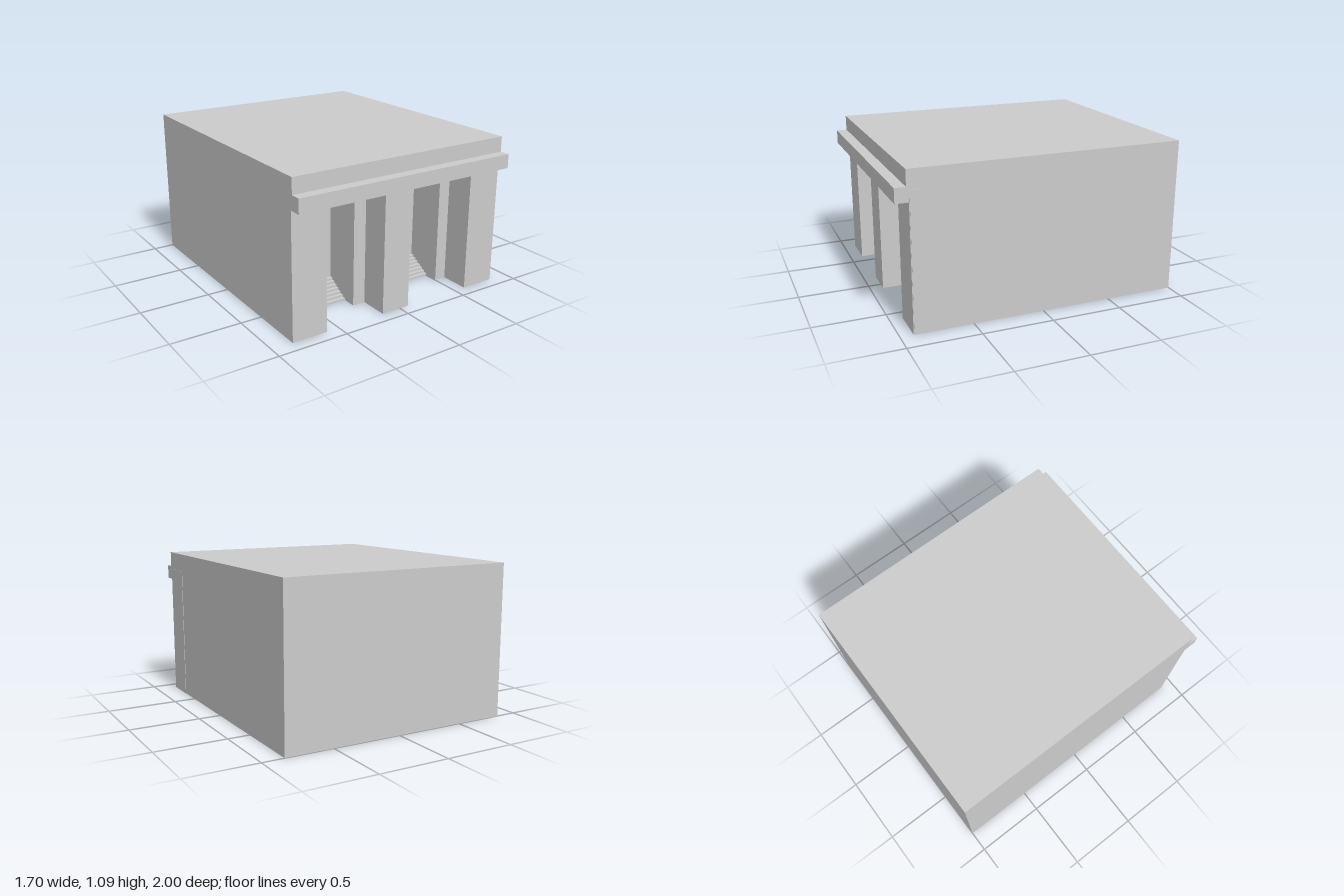
import * as THREE from 'three';

const material = new THREE.MeshStandardMaterial({ color: 0xcccccc, flatShading: true });
const thinMaterial = new THREE.MeshStandardMaterial({ color: 0xcccccc, flatShading: true, side: THREE.DoubleSide });

const LEFT = 0.845, RIGHT = -0.85, FRONT = 0.91, BACK = -1;
const JAMB_Z = 0.7, STAIR_Z = 0.6, WALL_Z = 0.42, DOOR_Z = 0.36;
const CEILING = 0.88, LANDING = 0.11, STEPS = 7;

// Entrance bays: outer edges, inner (jamb) edges and door edges along x
const bays = [
  { outer: [-0.595, -0.145], inner: [-0.515, -0.24], door: [-0.42, -0.34] },
  { outer: [0.07, 0.59], inner: [0.155, 0.5], door: [0.28, 0.38] },
];

function add(parent, name, geometry, mat = material) {
  const mesh = new THREE.Mesh(geometry, mat);
  mesh.name = name;
  parent.add(mesh);
  return mesh;
}

// Box given by its limits on each axis
function block(parent, name, [x0, x1], [y0, y1], [z0, z1]) {
  const mesh = add(parent, name, new THREE.BoxGeometry(x1 - x0, y1 - y0, z1 - z0));
  mesh.position.set((x0 + x1) / 2, (y0 + y1) / 2, (z0 + z1) / 2);
  return mesh;
}

// Floor plan of the building with the stepped bays cut into its front
function wallsGeometry() {
  const plan = [[RIGHT, BACK], [RIGHT, FRONT]];
  for (const { outer, inner, door } of bays) {
    plan.push(
      [outer[0], FRONT], [outer[0], JAMB_Z], [inner[0], JAMB_Z], [inner[0], WALL_Z],
      [door[0], WALL_Z], [door[0], DOOR_Z], [door[1], DOOR_Z], [door[1], WALL_Z],
      [inner[1], WALL_Z], [inner[1], JAMB_Z], [outer[1], JAMB_Z], [outer[1], FRONT],
    );
  }
  plan.push([LEFT, FRONT], [LEFT, BACK]);
  const shape = new THREE.Shape(plan.map(([x, z]) => new THREE.Vector2(x, -z)));
  return new THREE.ExtrudeGeometry(shape, { depth: CEILING, bevelEnabled: false }).rotateX(-Math.PI / 2);
}

// Wall above a door, with a panel that slopes back towards the ceiling
function overdoorGeometry([x0, x1]) {
  const profile = [[DOOR_Z, 0.265], [WALL_Z, 0.265], [WALL_Z, 0.35], [DOOR_Z + 0.005, CEILING], [DOOR_Z, CEILING]];
  const shape = new THREE.Shape(profile.map(([z, y]) => new THREE.Vector2(z, y)));
  return new THREE.ExtrudeGeometry(shape, { depth: x1 - x0, bevelEnabled: false })
    .rotateY(-Math.PI / 2).translate(x1, 0, 0);
}

// Thin flight of risers and treads
function stairs(parent, [x0, x1]) {
  const flight = new THREE.Group();
  flight.name = 'stairs';
  const rise = LANDING / STEPS, run = (STAIR_Z - WALL_Z) / STEPS, x = (x0 + x1) / 2;
  for (let i = 0; i < STEPS; i++) {
    add(flight, 'riser', new THREE.PlaneGeometry(x1 - x0, rise), thinMaterial)
      .position.set(x, (i + 0.5) * rise, STAIR_Z - i * run);
    add(flight, 'tread', new THREE.PlaneGeometry(x1 - x0, run).rotateX(-Math.PI / 2), thinMaterial)
      .position.set(x, (i + 1) * rise, STAIR_Z - (i + 0.5) * run);
  }
  parent.add(flight);
}

export function createModel() {
  const model = new THREE.Group();
  model.name = 'building';

  // Main mass
  add(model, 'walls', wallsGeometry());
  block(model, 'roofSlab', [RIGHT, LEFT], [CEILING, 1.09], [BACK, FRONT]);
  block(model, 'parapet', [RIGHT, LEFT], [0.98, 1.09], [FRONT, 0.925]);
  block(model, 'cornice', [RIGHT, LEFT], [CEILING, 0.98], [FRONT, 1]);
  block(model, 'sidePanel', [LEFT, LEFT + 0.003], [0, 0.96], [0.68, 0.905]);

  // Entrances
  for (const bay of bays) {
    const entrance = new THREE.Group();
    entrance.name = 'entrance';
    stairs(entrance, bay.inner);
    block(entrance, 'doorSill', bay.door, [0, LANDING], [DOOR_Z, WALL_Z]);
    add(entrance, 'overdoor', overdoorGeometry(bay.door));
    model.add(entrance);
  }
  return model;
}
